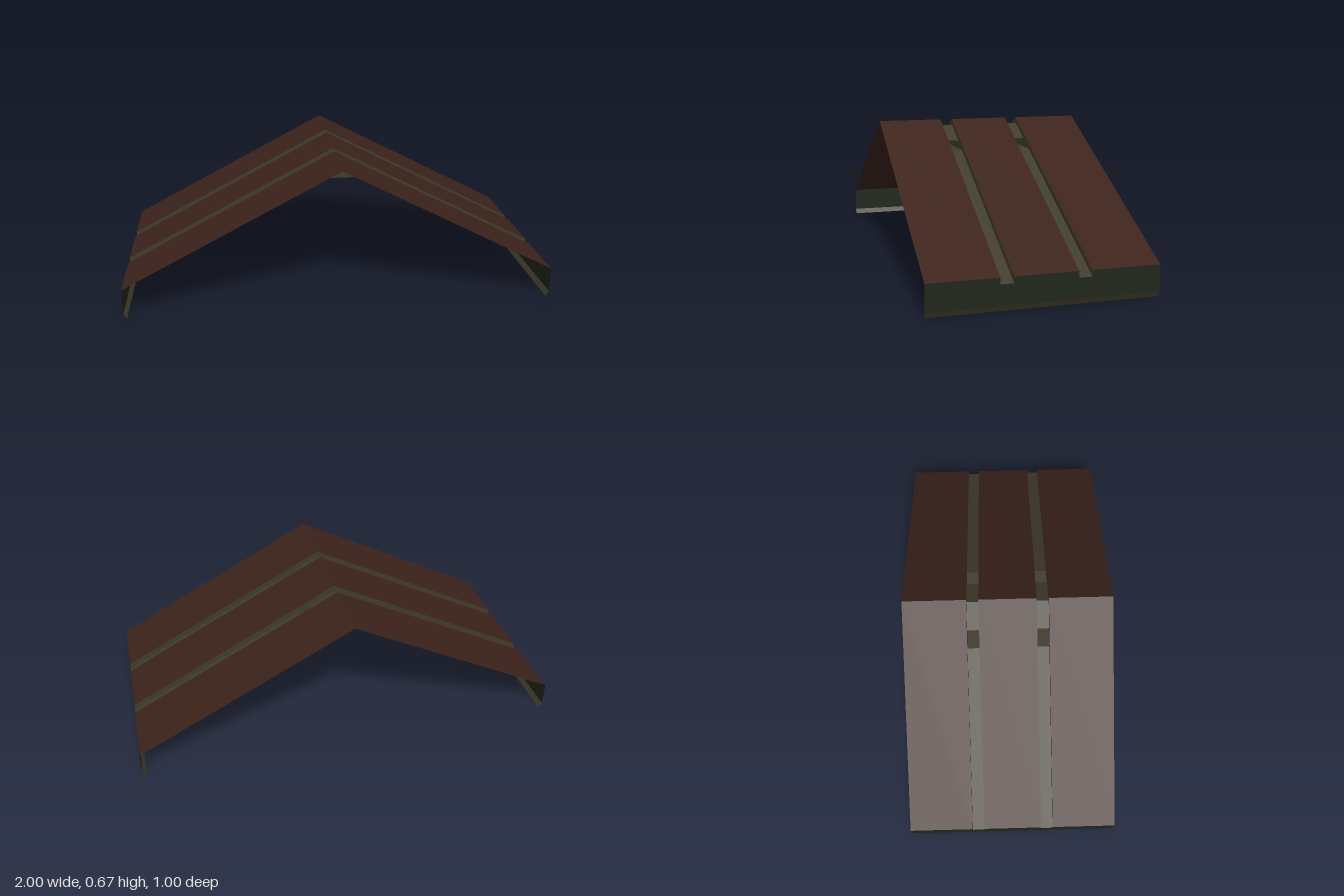
import * as THREE from 'three';

const material = (color) => new THREE.MeshStandardMaterial({ color, side: THREE.DoubleSide, flatShading: true });

// Thin sheet that sweeps an x-y path along z from z0 to z1
function sheet(name, path, z0, z1, mat) {
  const pos = [];
  for (let i = 0; i < path.length - 1; i++) {
    const [ax, ay] = path[i], [bx, by] = path[i + 1];
    pos.push(ax, ay, z0, ax, ay, z1, bx, by, z1, ax, ay, z0, bx, by, z1, bx, by, z0);
  }
  const geo = new THREE.BufferGeometry();
  geo.setAttribute('position', new THREE.Float32BufferAttribute(pos, 3));
  geo.computeVertexNormals();
  const mesh = new THREE.Mesh(geo, mat);
  mesh.name = name;
  return mesh;
}

export function createModel() {
  const group = new THREE.Group();
  group.name = 'gableRoof';
  const brown = material(0x3c231b), olive = material(0x403c2c), green = material(0x20261b);

  const ridge = 0.667, eave = 0.143, inner = 0.115, lipTop = 0.025;
  const slotIn = 0.138, slotOut = 0.196;

  // Roof panels and fascias in three bays, with an open slot above each truss
  for (const [z0, z1] of [[-0.5, -slotOut], [-slotIn, slotIn], [slotOut, 0.5]]) {
    group.add(sheet('roofPanel', [[1, eave], [0, ridge], [-1, eave]], z0, z1, brown));
    for (const s of [1, -1])
      group.add(sheet('fasciaTop', [[s, inner], [s, eave]], z0, z1, green));
  }

  // Continuous lower fascias with a lip turned slightly inward
  for (const s of [1, -1]) {
    group.add(sheet('fascia', [[s, lipTop], [s, inner]], -0.5, 0.5, green));
    group.add(sheet('fasciaLip', [[s * 0.985, 0], [s, lipTop]], -0.5, 0.5, olive));
  }

  // Trusses: open-topped rafter channels joined by a collar tie
  const soffit = [[1, inner], [0.197, 0.535], [-0.197, 0.535], [-1, inner]];
  const opening = [[0, 0.638], [0.12, 0.575], [-0.12, 0.575], [0, 0.638]];
  const toPoints = (list) => list.map(([x, y]) => new THREE.Vector2(x, y));
  const outline = new THREE.Shape(toPoints([[-1, eave], [0, ridge], [1, eave], ...soffit]));
  outline.holes.push(new THREE.Path(toPoints(opening)));
  const webGeometry = new THREE.ShapeGeometry(outline);

  for (const s of [1, -1]) {
    const truss = new THREE.Group();
    truss.name = s > 0 ? 'frontTruss' : 'backTruss';
    for (const z of [slotIn, slotOut]) {
      const web = new THREE.Mesh(webGeometry, olive);
      web.name = 'trussSide';
      web.position.z = s * z;
      truss.add(web);
    }
    const z0 = Math.min(s * slotIn, s * slotOut), z1 = Math.max(s * slotIn, s * slotOut);
    truss.add(sheet('trussSoffit', soffit, z0, z1, olive));
    truss.add(sheet('trussOpening', opening, z0, z1, olive));
    group.add(truss);
  }
  return group;
}
